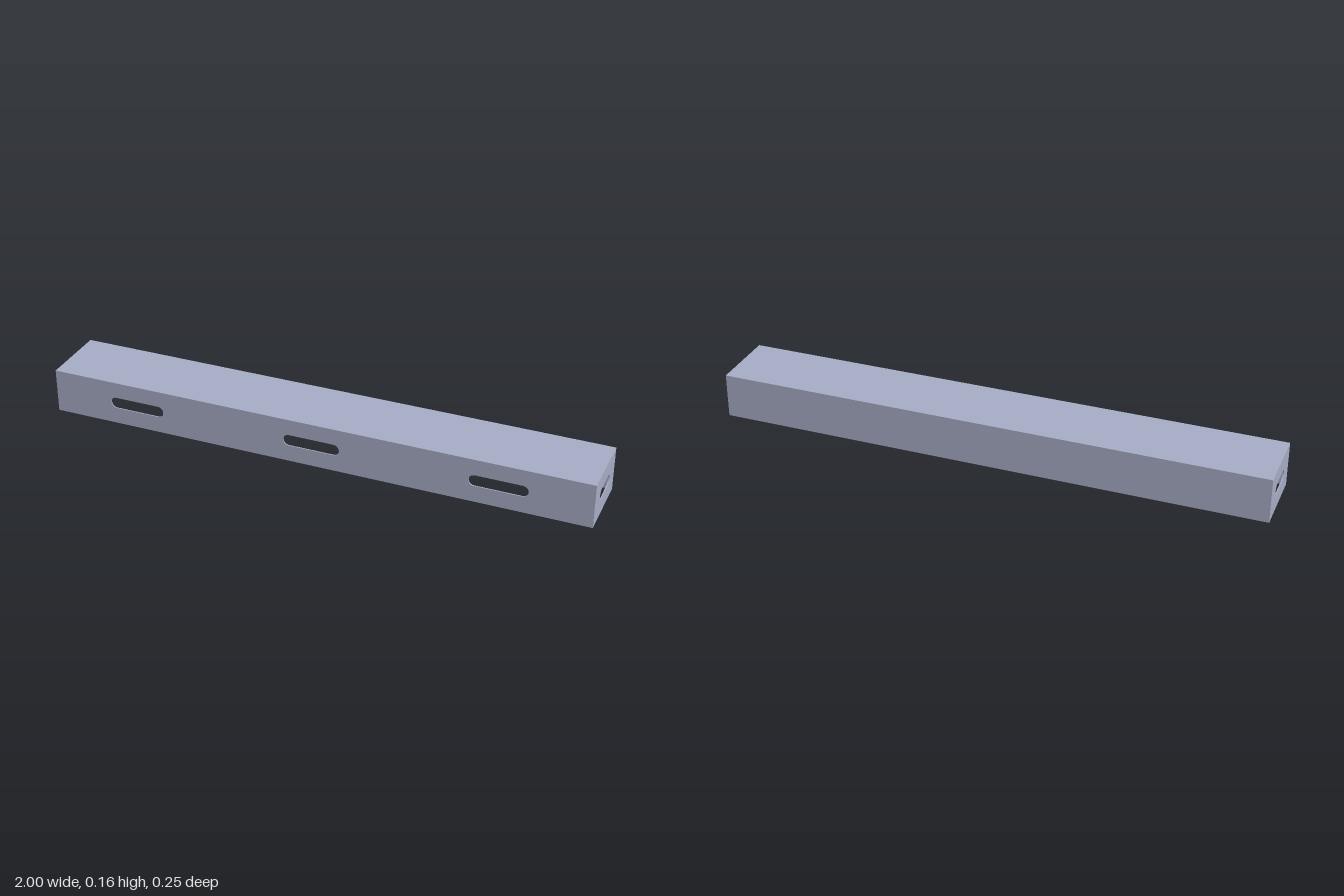
import * as THREE from 'three';

const L = 2, H = 0.164, D = 0.255, T = 0.004; // length, height, depth, sheet thickness
const SLOT_Y = 0.083, SLOT_R = 0.021;

// Rounded-end slot as a hole path
function slot(cx, cy, length, r) {
  const h = length / 2 - r;
  const p = new THREE.Path();
  p.absarc(cx + h, cy, r, -Math.PI / 2, Math.PI / 2, false);
  p.absarc(cx - h, cy, r, Math.PI / 2, Math.PI * 1.5, false);
  p.closePath();
  return p;
}

// Upright sheet of given width, centred on its thickness, with slots
function sheet(width, height, slots) {
  const s = new THREE.Shape();
  s.moveTo(-width / 2, 0);
  s.lineTo(width / 2, 0);
  s.lineTo(width / 2, height);
  s.lineTo(-width / 2, height);
  s.closePath();
  s.holes.push(...slots);
  const g = new THREE.ExtrudeGeometry(s, { depth: T, bevelEnabled: false, curveSegments: 16 });
  return g.translate(0, 0, -T / 2);
}

export function createModel() {
  const group = new THREE.Group();
  group.name = 'slottedChannel';
  const steel = new THREE.MeshStandardMaterial({ color: 0xa6acc4 });
  steel.name = 'paleBlueSteel';

  const add = (name, geometry, x, y, z, turn = 0) => {
    const m = new THREE.Mesh(geometry, steel);
    m.name = name;
    m.position.set(x, y, z);
    m.rotation.y = turn;
    group.add(m);
  };

  // Top panel covers the walls; the underside stays open
  add('topPanel', new THREE.BoxGeometry(L, T, D), 0, H - T / 2, 0);

  // Long walls: three slots in front, plain at the back
  const frontSlots = [-0.673, 0, 0.673].map((x) => slot(x, SLOT_Y, 0.208, SLOT_R));
  add('frontWall', sheet(L, H - T, frontSlots), 0, 0, D / 2 - T / 2);
  add('backWall', sheet(L, H - T, []), 0, 0, -D / 2 + T / 2);

  // End walls, each with one slot
  for (const side of [1, -1]) {
    add(side > 0 ? 'leftEndWall' : 'rightEndWall',
      sheet(D - 2 * T, H - T, [slot(0, SLOT_Y, 0.124, SLOT_R)]),
      side * (L / 2 - T / 2), 0, 0, side * Math.PI / 2);
  }
  return group;
}
